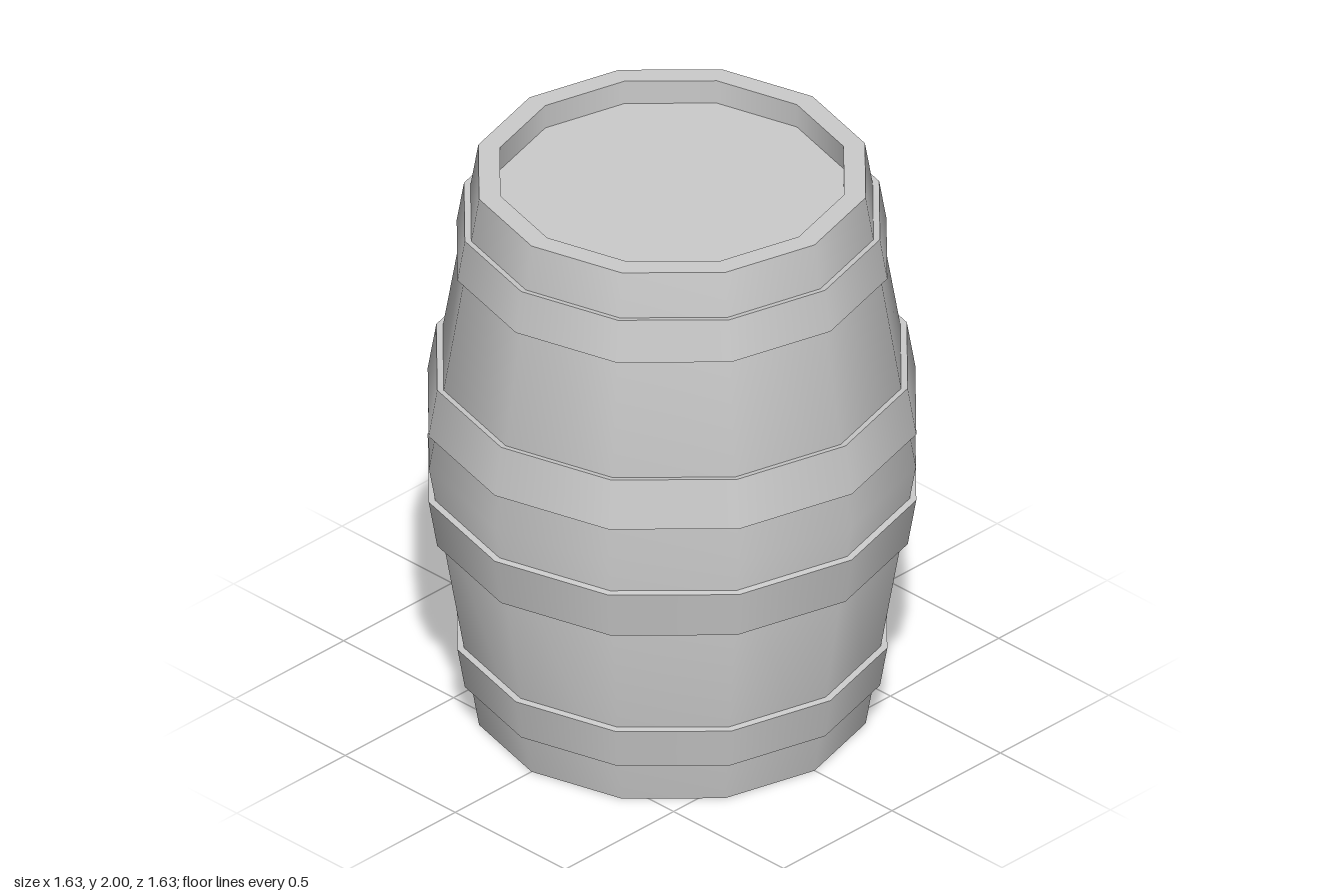
import * as THREE from 'three';
import { mergeGeometries } from 'three/addons/utils/BufferGeometryUtils.js';

const SIDES = 12;
const END_R = 0.648, BELLY_R = 0.816; // stave radius at the ends and the middle
const RIM_R = 0.576, RECESS = 0.085;  // inner rim radius and depth of the lids
const HOOP = 0.022;                   // hoop thickness

const material = new THREE.MeshStandardMaterial({ color: 0xcccccc });
const radiusAt = (y) => BELLY_R - (BELLY_R - END_R) * Math.abs(y - 1);

// Each strip is smooth around the barrel; edges between strips stay sharp.
function turned(name, strips) {
  const geometries = strips.map((points) =>
    new THREE.LatheGeometry(points.map(([r, y]) => new THREE.Vector2(r, y)), SIDES));
  const mesh = new THREE.Mesh(mergeGeometries(geometries), material);
  mesh.name = name;
  return mesh;
}

// Hoop following the slope of the staves between two heights
function hoop(name, y0, y1) {
  const tilt = 0.002 * Math.sign(y0 - 1);
  const a = [radiusAt(y0) - 0.002, y0 - tilt], b = [radiusAt(y1) - 0.002, y1 - tilt];
  const c = [radiusAt(y1) + HOOP, y1 + tilt], d = [radiusAt(y0) + HOOP, y0 + tilt];
  return turned(name, [[a, d], [d, c], [c, b], [b, a]]);
}

export function createModel() {
  const barrel = new THREE.Group();
  barrel.name = 'barrel';

  // Staves with flat rims and recessed inner walls at both ends
  barrel.add(turned('staves', [
    [[END_R, 0], [BELLY_R, 1], [END_R, 2]],
    [[END_R, 2], [RIM_R, 2]],
    [[RIM_R, 2], [RIM_R, 2 - RECESS]],
    [[RIM_R, RECESS], [RIM_R, 0]],
    [[RIM_R, 0], [END_R, 0]],
  ]));

  // Flat lids set into the ends
  barrel.add(turned('topLid', [[[RIM_R, 2 - RECESS], [0, 2 - RECESS]]]));
  barrel.add(turned('bottomLid', [[[0, RECESS], [RIM_R, RECESS]]]));

  // Hoops, mirrored about the middle
  for (const [name, y0, y1] of [['EndHoop', 1.7, 1.846], ['MiddleHoop', 1.123, 1.294]]) {
    barrel.add(hoop('upper' + name, y0, y1));
    barrel.add(hoop('lower' + name, 2 - y1, 2 - y0));
  }
  return barrel;
}
